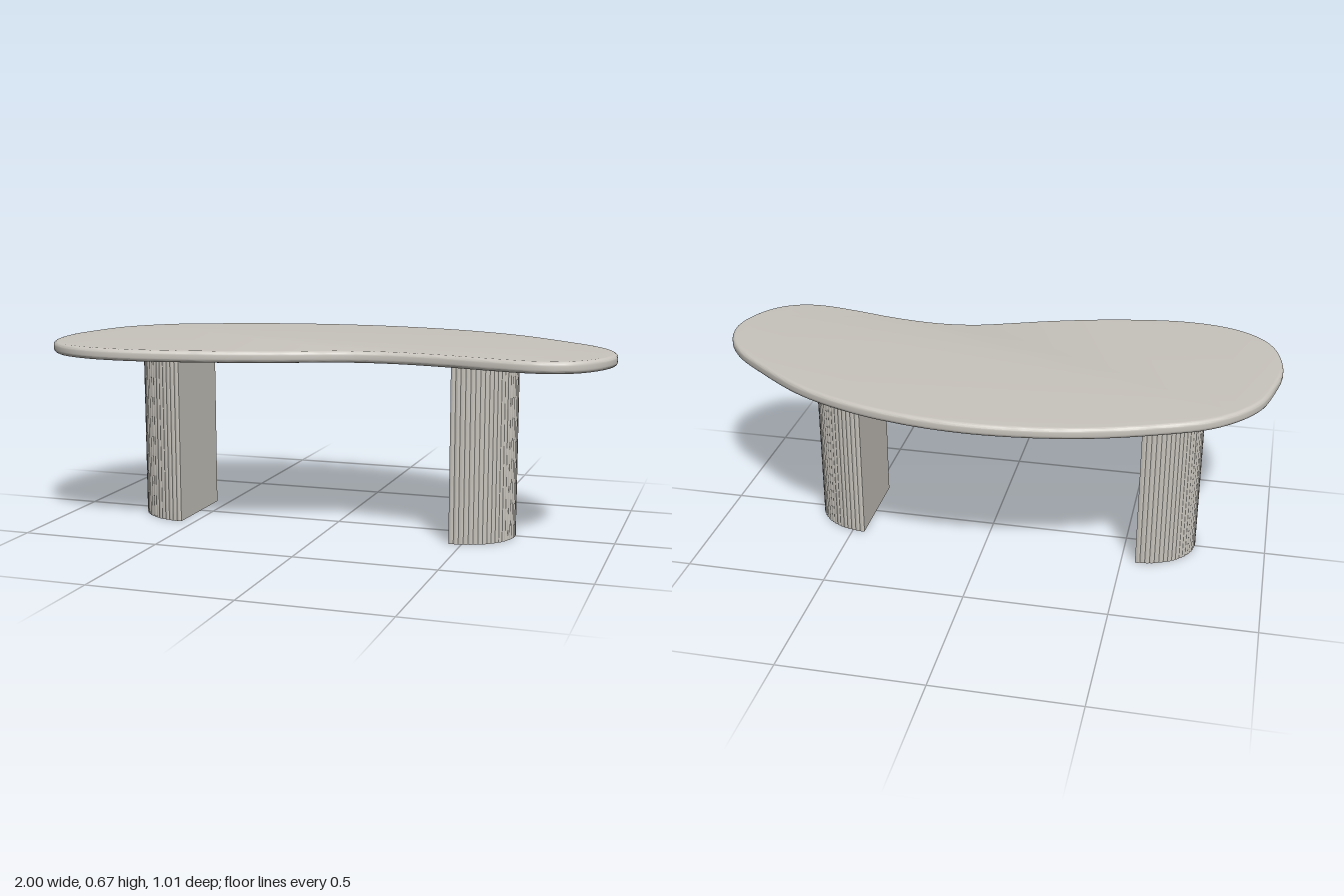
import * as THREE from 'three';
import { toCreasedNormals } from 'three/addons/utils/BufferGeometryUtils.js';

const TOP_Y = 0.67, THICK = 0.04, LEG_H = TOP_Y - THICK;

// Extrude an outline drawn in (x, z) downwards from the given height.
function slab(points, topY, height, bevel, crease) {
  const geo = new THREE.ExtrudeGeometry(new THREE.Shape(points), {
    depth: height - 2 * bevel,
    bevelEnabled: bevel > 0,
    bevelThickness: bevel,
    bevelSize: bevel,
    bevelOffset: -bevel,
    bevelSegments: 5,
  });
  geo.rotateX(Math.PI / 2).translate(0, topY - bevel, 0);
  return toCreasedNormals(geo, crease);
}

// Kidney-shaped outline of the table top, as x, z pairs.
const OUTLINE = [
  [-1, 0.15], [-0.98, 0], [-0.93, -0.16], [-0.8, -0.305], [-0.6, -0.4], [-0.4, -0.465],
  [-0.2, -0.5], [0, -0.51], [0.2, -0.49], [0.4, -0.44], [0.6, -0.35], [0.8, -0.2],
  [0.91, -0.1], [0.975, 0], [1, 0.11], [0.98, 0.21], [0.92, 0.31], [0.84, 0.36],
  [0.75, 0.372], [0.6, 0.347], [0.45, 0.312], [0.28, 0.292], [0.14, 0.305], [0, 0.352],
  [-0.13, 0.4], [-0.35, 0.462], [-0.61, 0.5], [-0.77, 0.482], [-0.88, 0.43], [-0.96, 0.335],
];

function topOutline() {
  const curve = new THREE.CatmullRomCurve3(OUTLINE.map(([x, z]) => new THREE.Vector3(x, z, 0)), true);
  return curve.getSpacedPoints(140).slice(0, -1).map((p) => new THREE.Vector2(p.x, p.y));
}

// Half-ellipse with fine flutes; flat side inwards, curve towards side (+1 or -1).
function legOutline(innerX, side) {
  const ribs = 36, steps = 4, pts = [];
  for (let i = 0; i <= ribs * steps; i++) {
    const t = i / (ribs * steps);
    const a = Math.PI * (t - 0.5);
    const groove = 0.003 * (1 - Math.abs(Math.sin(Math.PI * ribs * t)));
    pts.push(new THREE.Vector2(
      innerX + side * (0.2 - groove) * Math.cos(a),
      0.01 + (0.17 - groove) * Math.sin(a)));
  }
  return pts;
}

export function createModel() {
  const group = new THREE.Group();
  group.name = 'coffeeTable';
  const stone = new THREE.MeshStandardMaterial({ color: 0xc8c4bd });
  stone.name = 'warmGrey';

  const add = (name, geo) => {
    const mesh = new THREE.Mesh(geo, stone);
    mesh.name = name;
    group.add(mesh);
  };

  add('tableTop', slab(topOutline(), TOP_Y, THICK, 0.014, 0.5));
  add('leftLeg', slab(legOutline(0.455, 1), LEG_H, LEG_H, 0, 0.5));
  add('rightLeg', slab(legOutline(-0.55, -1), LEG_H, LEG_H, 0, 0.5));
  return group;
}
